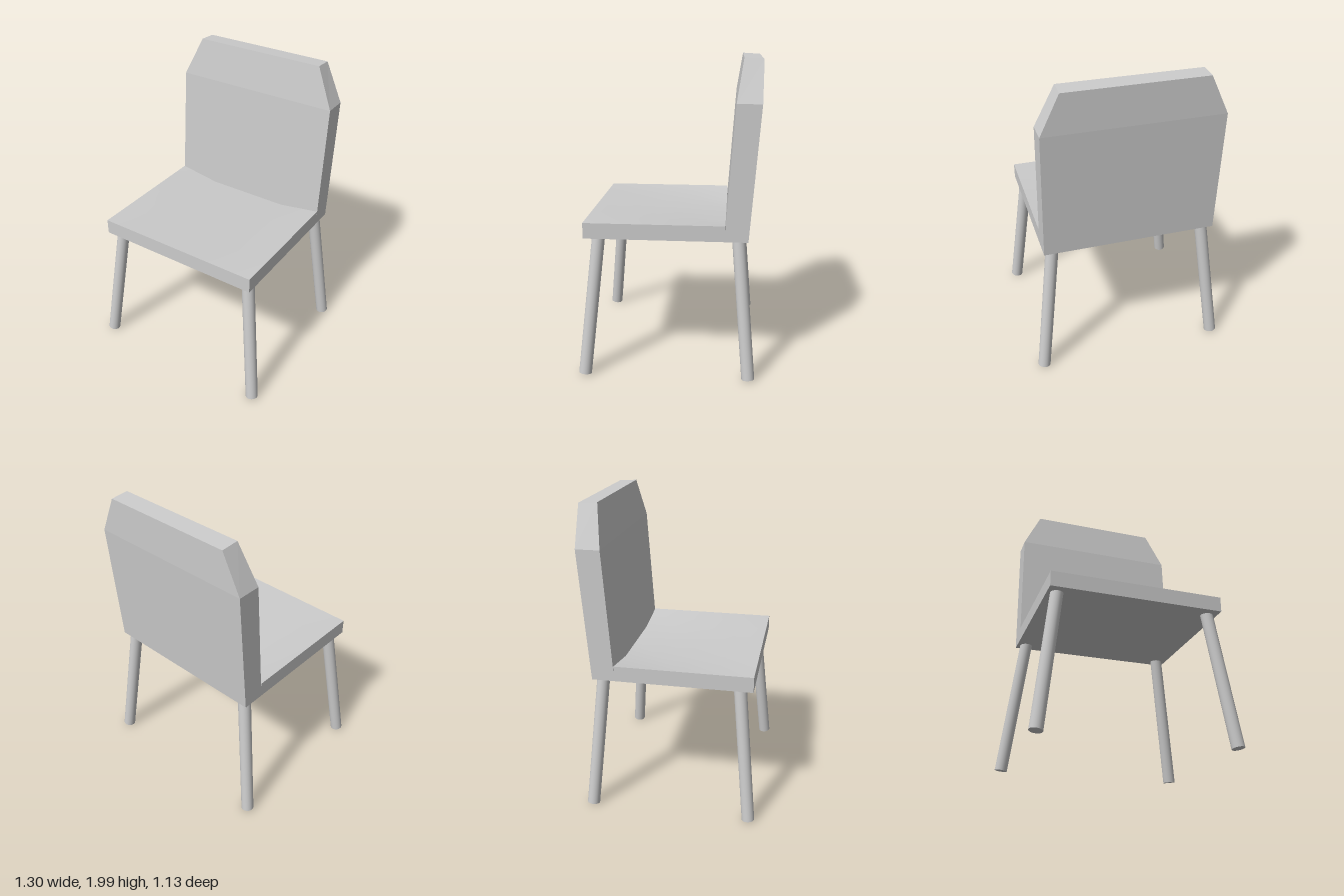
import * as THREE from 'three';

const material = new THREE.MeshStandardMaterial({ color: 0xcccccc });

function addMesh(group, name, geometry) {
  const mesh = new THREE.Mesh(geometry, material);
  mesh.name = name;
  group.add(mesh);
}

// Seat slab, its top dipping gently towards the backrest
function seatGeometry() {
  const front = 0.525, rear = -0.357, halfWidth = 0.565;
  const geometry = new THREE.BoxGeometry(halfWidth * 2, 0.1, front - rear, 4, 1, 4);
  geometry.translate(0, 0.95, (front + rear) / 2);
  const p = geometry.attributes.position;
  for (let i = 0; i < p.count; i++) {
    if (p.getY(i) < 0.95) continue;
    const across = Math.min(1, (halfWidth - Math.abs(p.getX(i))) / (halfWidth / 2));
    const along = (front - p.getZ(i)) / (front - rear);
    p.setY(i, 1 - 0.045 * across * along);
  }
  geometry.computeVertexNormals();
  return geometry;
}

// Backrest lofted through rectangular sections, flat faced
function backrestGeometry() {
  // half width, front y, front z, rear y, rear z
  const sections = [
    [0.565, 0.9, -0.353, 0.9, -0.5],
    [0.565, 1.74, -0.41, 1.74, -0.563],
    [0.445, 2.0, -0.45, 1.993, -0.568],
  ];
  const rings = sections.map(([w, fy, fz, ry, rz]) => [
    [-w, fy, fz], [w, fy, fz], [w, ry, rz], [-w, ry, rz],
  ]);
  const positions = [];
  const quad = (a, b, c, d) => positions.push(...a, ...b, ...c, ...a, ...c, ...d);
  for (let i = 0; i < rings.length - 1; i++) {
    for (let j = 0; j < 4; j++) {
      const k = (j + 1) % 4;
      quad(rings[i][j], rings[i][k], rings[i + 1][k], rings[i + 1][j]);
    }
  }
  quad(...rings[rings.length - 1]);
  quad(...[...rings[0]].reverse());
  const geometry = new THREE.BufferGeometry();
  geometry.setAttribute('position', new THREE.Float32BufferAttribute(positions, 3));
  geometry.computeVertexNormals();
  return geometry;
}

// Round leg running from the floor to the underside of the seat
function legGeometry(foot, top) {
  const axis = top.clone().sub(foot);
  const geometry = new THREE.CylinderGeometry(0.041, 0.041, axis.length(), 24);
  geometry.applyQuaternion(
    new THREE.Quaternion().setFromUnitVectors(new THREE.Vector3(0, 1, 0), axis.normalize()));
  const mid = foot.clone().add(top).multiplyScalar(0.5);
  return geometry.translate(mid.x, mid.y, mid.z);
}

export function createModel() {
  const chair = new THREE.Group();
  chair.name = 'chair';
  addMesh(chair, 'seat', seatGeometry());
  addMesh(chair, 'backrest', backrestGeometry());

  // Four splayed legs
  for (const [side, s] of [['Left', 1], ['Right', -1]]) {
    for (const [end, footZ, topZ] of [['front', 0.525, 0.435], ['rear', -0.518, -0.44]]) {
      addMesh(chair, `${end}${side}Leg`, legGeometry(
        new THREE.Vector3(s * 0.61, 0.012, footZ),
        new THREE.Vector3(s * 0.5, 0.92, topZ)));
    }
  }
  return chair;
}
